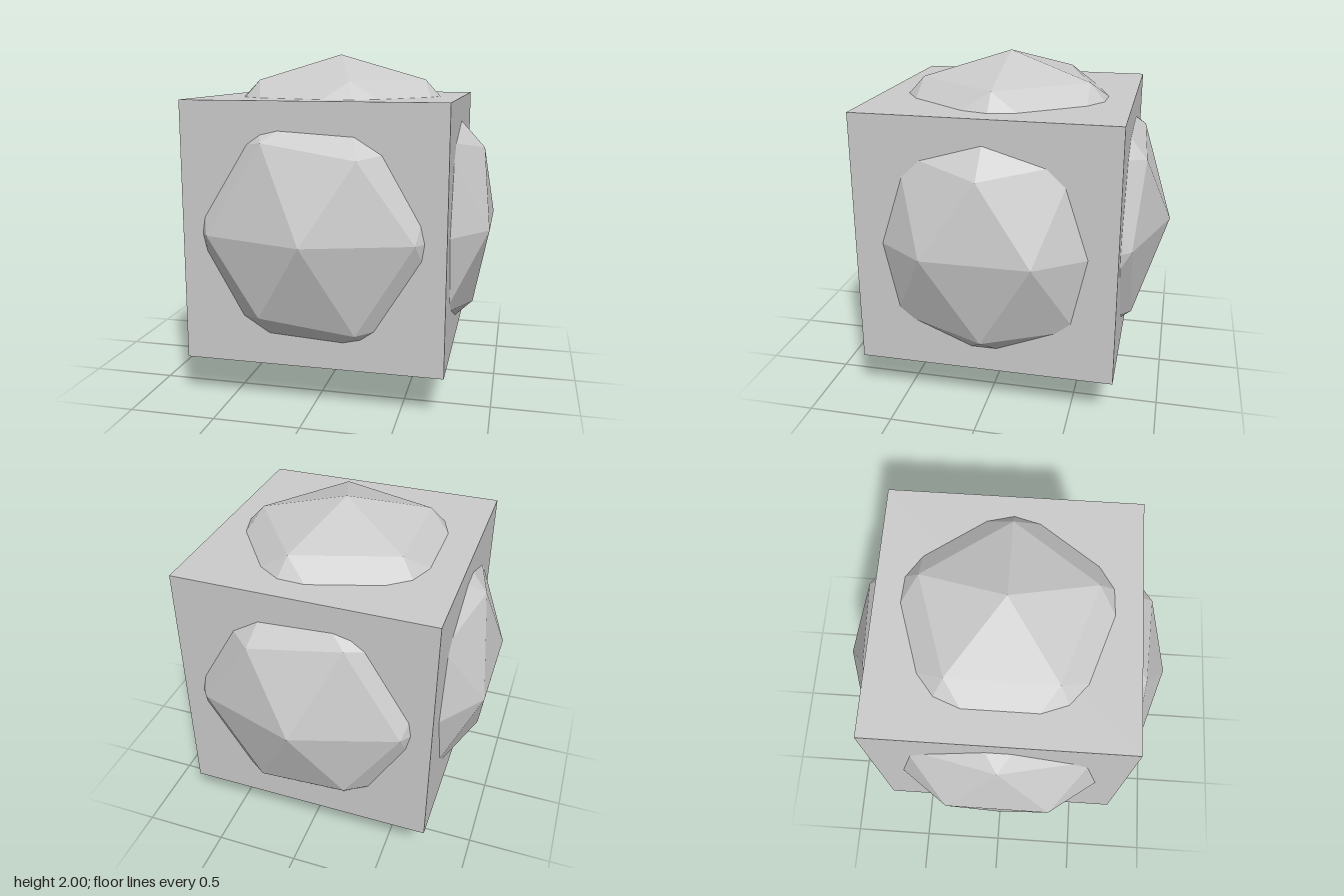
import * as THREE from 'three';

export function createModel() {
  const group = new THREE.Group();
  const material = new THREE.MeshStandardMaterial({ color: 0xcccccc, flatShading: true });

  function addPart(name, geometry) {
    const mesh = new THREE.Mesh(geometry, material);
    mesh.name = name;
    mesh.position.y = 1;
    group.add(mesh);
  }

  // Cube
  addPart('cube', new THREE.BoxGeometry(1.5, 1.5, 1.5));

  // Faceted sphere pushing through all six faces, turned so a corner points straight up
  const sphere = new THREE.IcosahedronGeometry(1, 1);
  sphere.rotateZ(-Math.atan(2 / (1 + Math.sqrt(5))));
  sphere.computeVertexNormals();
  addPart('facetedSphere', sphere);

  return group;
}
